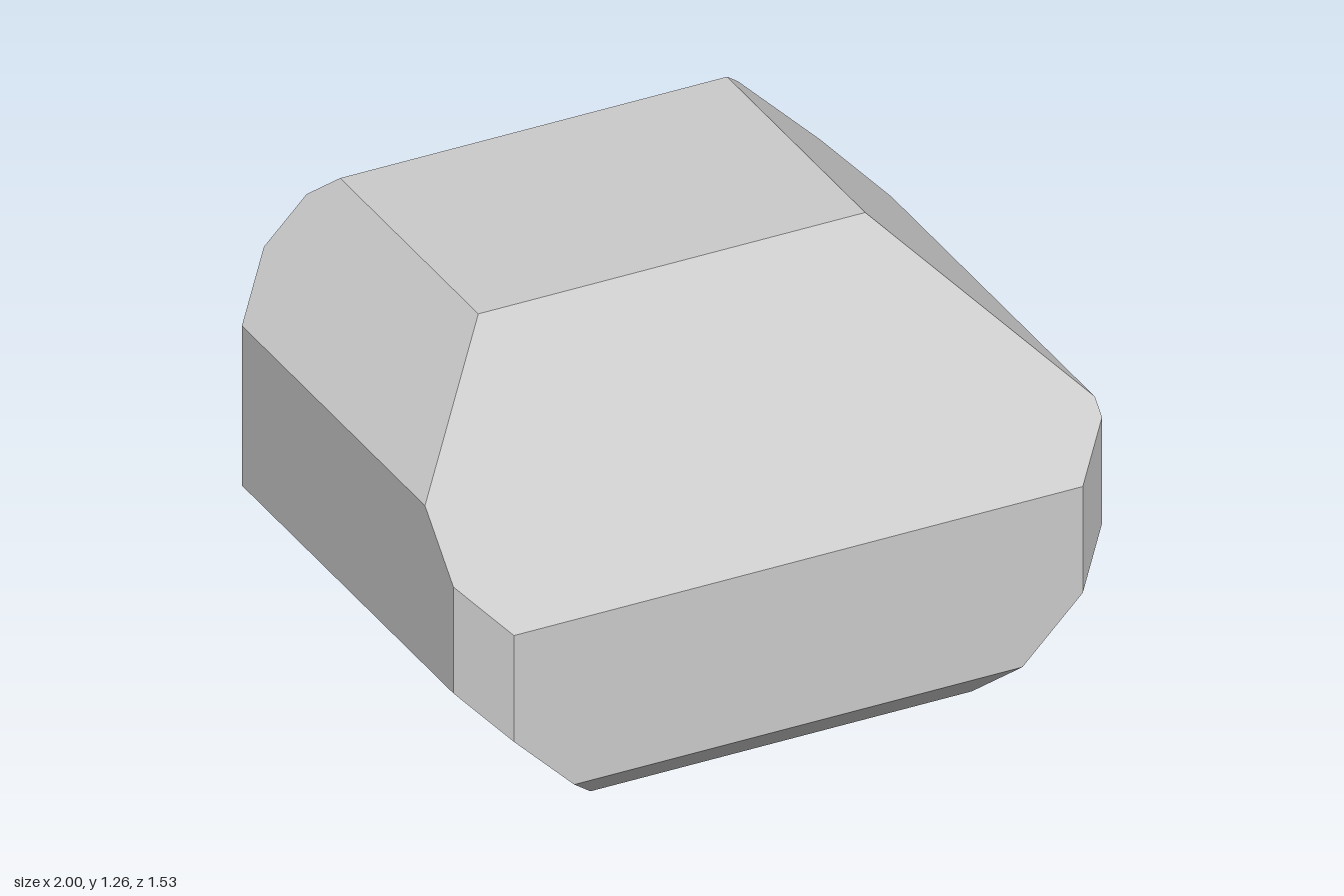
import * as THREE from 'three';

// Each plane is [nx, ny, nz, d], keeping the side where n . p <= d.
const PLANES = [
  // the six box sides
  [1, 0, 0, 1], [-1, 0, 0, 1],
  [0, 1, 0, 1.26], [0, -1, 0, 0],
  [0, 0, 1, 0.763], [0, 0, -1, 0.763],
  // top bevels: left, right, front, back
  [1, 1, 0, 1.793], [-1, 1, 0, 1.92], [0, 1, 1, 1.39], [0, 1, -1, 1.955],
  // upright corner bevels: two front, two back
  [1, 0, 1, 1.64], [-1, 0, 1, 1.64], [1, 0, -1, 1.617], [-1, 0, -1, 1.623],
  // bottom bevels: left, right, front, back
  [1, -1, 0, 0.588], [-1, -1, 0, 0.588], [0, -1, 1, 0.66], [0, -1, -1, 0.7],
];

// Solid bounded by planes: corners where three planes meet, one fan per face.
function solidFromPlanes(list) {
  const planes = list.map(([x, y, z, d]) => ({ n: new THREE.Vector3(x, y, z), d }));
  const corners = [];
  const m = new THREE.Matrix3();
  for (let i = 0; i < planes.length; i++)
    for (let j = i + 1; j < planes.length; j++)
      for (let k = j + 1; k < planes.length; k++) {
        const [a, b, c] = [planes[i], planes[j], planes[k]];
        m.set(...a.n.toArray(), ...b.n.toArray(), ...c.n.toArray());
        if (Math.abs(m.determinant()) < 1e-6) continue;
        const p = new THREE.Vector3(a.d, b.d, c.d).applyMatrix3(m.invert());
        const inside = planes.every(q => q.n.dot(p) <= q.d + 1e-6);
        if (inside && !corners.some(q => q.distanceTo(p) < 1e-5)) corners.push(p);
      }

  const positions = [];
  for (const { n, d } of planes) {
    const face = corners.filter(p => Math.abs(n.dot(p) - d) < 1e-5);
    if (face.length < 3) continue;
    // sort the corners counter-clockwise about the face centre
    const centre = face.reduce((s, p) => s.add(p), new THREE.Vector3()).divideScalar(face.length);
    const normal = n.clone().normalize();
    const u = face[0].clone().sub(centre).normalize();
    const v = normal.clone().cross(u);
    const angle = p => {
      const r = p.clone().sub(centre);
      return Math.atan2(r.dot(v), r.dot(u));
    };
    face.sort((p, q) => angle(p) - angle(q));
    for (let i = 1; i < face.length - 1; i++)
      for (const p of [face[0], face[i], face[i + 1]]) positions.push(p.x, p.y, p.z);
  }
  const geometry = new THREE.BufferGeometry();
  geometry.setAttribute('position', new THREE.Float32BufferAttribute(positions, 3));
  geometry.computeVertexNormals();
  return geometry;
}

export function createModel() {
  const group = new THREE.Group();
  group.name = 'bevelledBlock';
  const material = new THREE.MeshStandardMaterial({ color: 0xcccccc, flatShading: true });
  const block = new THREE.Mesh(solidFromPlanes(PLANES), material);
  block.name = 'block';
  group.add(block);
  return group;
}
